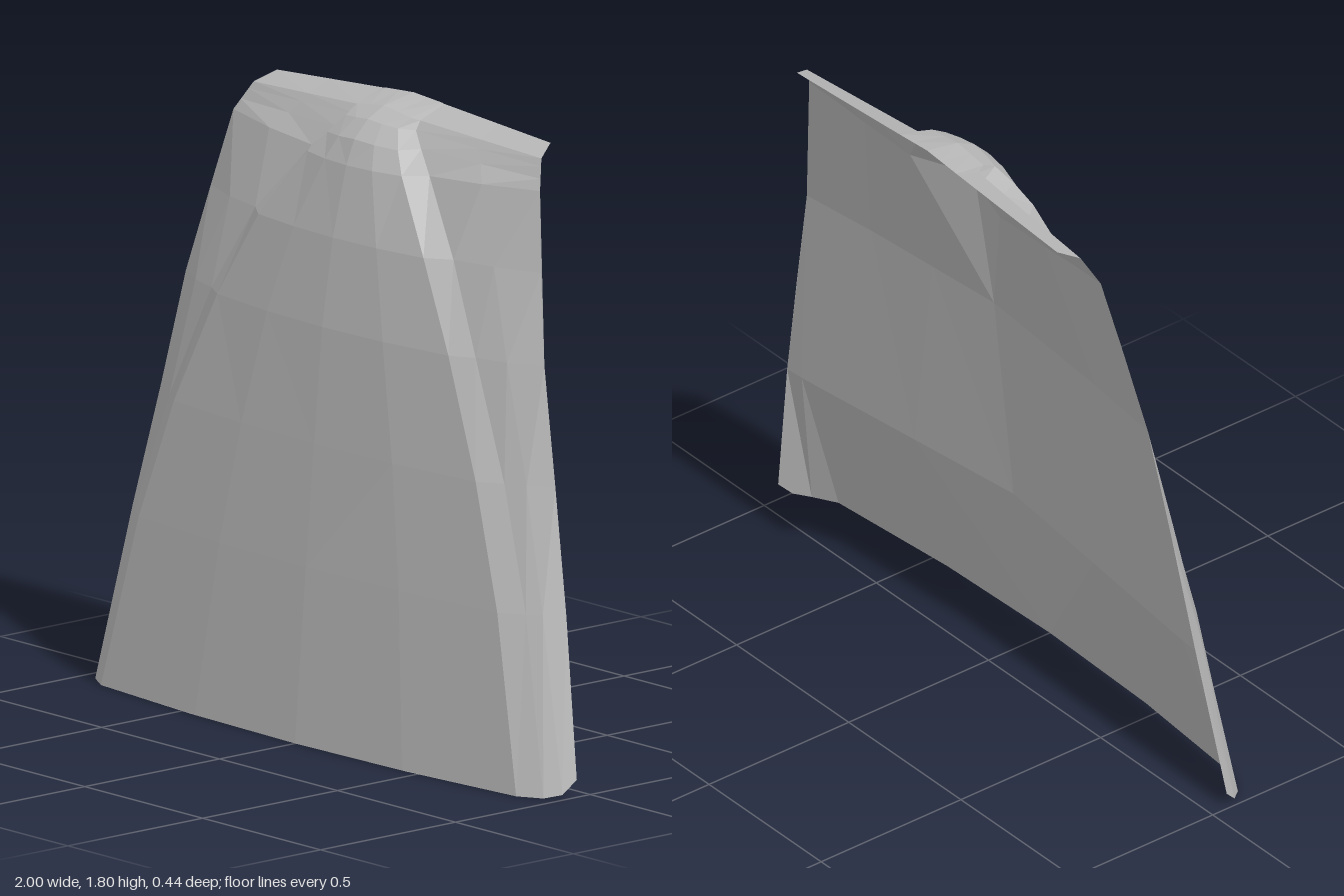
import * as THREE from 'three';

const mix = (a, b, t) => a.map((v, i) => v + (b[i] - v) * t);

// Builds half a sheet from lines running bottom to top (centre line first), then mirrors it.
function sheet(lines, facesBack) {
  const pos = [];
  const tri = (a, b, c, flip) => {
    for (const p of flip ? [a, c, b] : [a, b, c]) pos.push(...p);
  };
  for (const side of [1, -1]) {
    const at = (c, r) => [lines[c][r][0] * side, lines[c][r][1], lines[c][r][2]];
    const flip = (side < 0) !== facesBack;
    for (let c = 0; c < lines.length - 1; c++) {
      for (let r = 0; r < lines[c].length - 1; r++) {
        tri(at(c, r), at(c + 1, r), at(c + 1, r + 1), flip);
        tri(at(c, r), at(c + 1, r + 1), at(c, r + 1), flip);
      }
    }
  }
  const geo = new THREE.BufferGeometry();
  geo.setAttribute('position', new THREE.Float32BufferAttribute(pos, 3));
  geo.computeVertexNormals();
  return geo;
}

// Outer skin: guide lines from the bottom edge up to the rear lip
const centre = [
  [0, 0, 0.22], [0, 0.5, 0.18], [0, 0.85, 0.15], [0, 1.18, 0.12], [0, 1.43, 0.08],
  [0, 1.63, 0.03], [0, 1.7, 0], [0, 1.75, -0.05], [0, 1.78, -0.11], [0, 1.8, -0.22],
];
const ridgeTop = [
  [0.88, 0, 0.17], [0.76, 0.5, 0.135], [0.64, 0.85, 0.11], [0.49, 1.18, 0.08], [0.35, 1.43, 0.05],
  [0.2, 1.63, 0], [0.15, 1.69, -0.03], [0.11, 1.74, -0.065], [0.115, 1.765, -0.11], [0.12, 1.792, -0.22],
];
const ridgeFoot = [
  [0.95, 0, 0.13], [0.83, 0.5, 0.09], [0.71, 0.85, 0.065], [0.56, 1.18, 0.04], [0.42, 1.43, 0],
  [0.25, 1.63, -0.06], [0.18, 1.69, -0.09], [0.13, 1.73, -0.115], [0.125, 1.755, -0.135], [0.13, 1.79, -0.22],
];
const edge = [
  [1, 0.05, 0.05], [0.91, 0.5, 0.01], [0.835, 0.85, -0.015], [0.76, 1.18, -0.04], [0.7, 1.43, -0.08],
  [0.65, 1.65, -0.12], [0.635, 1.68, -0.135], [0.62, 1.71, -0.15], [0.61, 1.73, -0.16], [0.58, 1.76, -0.22],
];

// In-between lines, slightly crowned
const crown = centre.map((p, i) => {
  const m = mix(p, ridgeTop[i], 0.5);
  m[2] += 0.25 * (p[2] - ridgeTop[i][2]);
  return m;
});
const flank = ridgeFoot.map((p, i) => {
  const m = mix(p, edge[i], 0.5);
  if (i === 0) return [0.985, 0.01, 0.09];
  if (i < 6) m[2] += 0.012;
  return m;
});

// Inner skin: coarse panels with a hollow along the middle
const innerLines = [
  [[0, 0, 0.22], [0, 0.52, 0.09], [0, 1.19, 0.02], [0, 1.65, -0.05], [0, 1.75, -0.125], [0, 1.8, -0.22]],
  [[0.45, 0, 0.207], [0.4, 0.51, 0.055], [0.25, 1.19, 0], [0.2, 1.64, -0.12], [0.125, 1.74, -0.155], [0.13, 1.79, -0.22]],
  [[0.88, 0, 0.17], [0.79, 0.5, 0.02], [0.5, 1.19, -0.02], [0.4, 1.645, -0.121], [0.35, 1.735, -0.16], [0.35, 1.775, -0.22]],
  [[0.95, 0, 0.13], [0.85, 0.5, 0.014], [0.63, 1.185, -0.03], [0.53, 1.65, -0.121], [0.48, 1.73, -0.161], [0.47, 1.767, -0.22]],
  [[1, 0.05, 0.05], [0.91, 0.5, 0.01], [0.76, 1.18, -0.04], [0.65, 1.65, -0.12], [0.61, 1.73, -0.16], [0.58, 1.76, -0.22]],
];

export function createModel() {
  const grey = new THREE.MeshStandardMaterial({ color: 0xb8b8b8, flatShading: true, side: THREE.DoubleSide });
  grey.name = 'plain grey';

  const group = new THREE.Group();
  group.name = 'ridgedPanel';

  const outer = new THREE.Mesh(sheet([centre, crown, ridgeTop, ridgeFoot, flank, edge], false), grey);
  outer.name = 'outerSkin';
  const inner = new THREE.Mesh(sheet(innerLines, true), grey);
  inner.name = 'innerSkin';
  group.add(outer, inner);
  return group;
}
